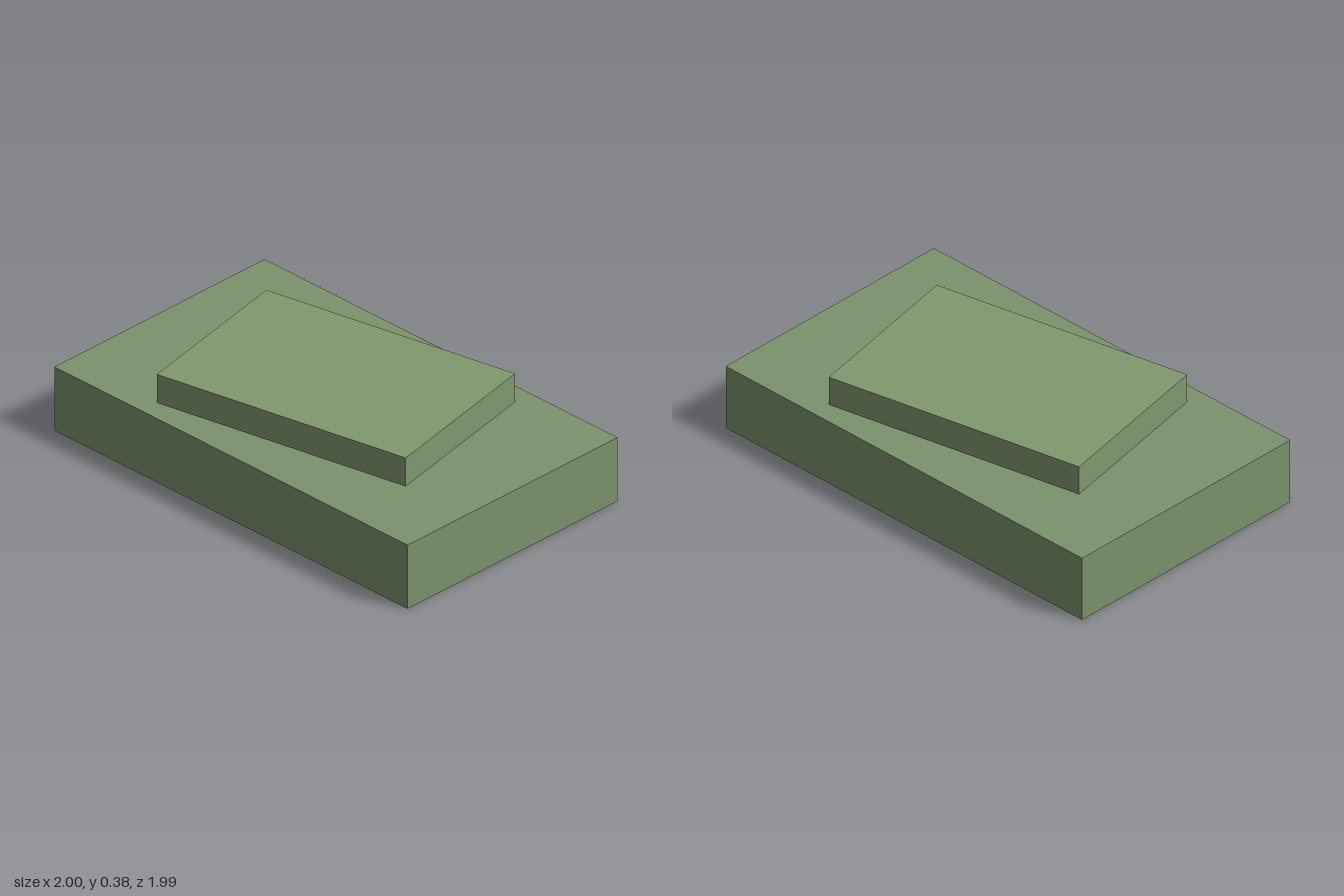
import * as THREE from 'three';

// Flat slab standing on height y, turned about the vertical axis
function slab(name, [w, h, d], y, turn, color) {
  const material = new THREE.MeshStandardMaterial({ color });
  const mesh = new THREE.Mesh(new THREE.BoxGeometry(w, h, d), material);
  mesh.name = name;
  mesh.position.y = y + h / 2;
  mesh.rotation.y = turn;
  return mesh;
}

export function createModel() {
  const group = new THREE.Group();
  group.name = 'steppedPlinth';
  const baseHeight = 0.262;

  // Large lower block
  group.add(slab('baseSlab', [1.762, baseHeight, 1.056], 0, -0.775, 0x7b926b));

  // Smaller raised block, turned a little less
  group.add(slab('upperSlab', [1.056, 0.116, 0.704], baseHeight, -0.577, 0x80986e));

  return group;
}
